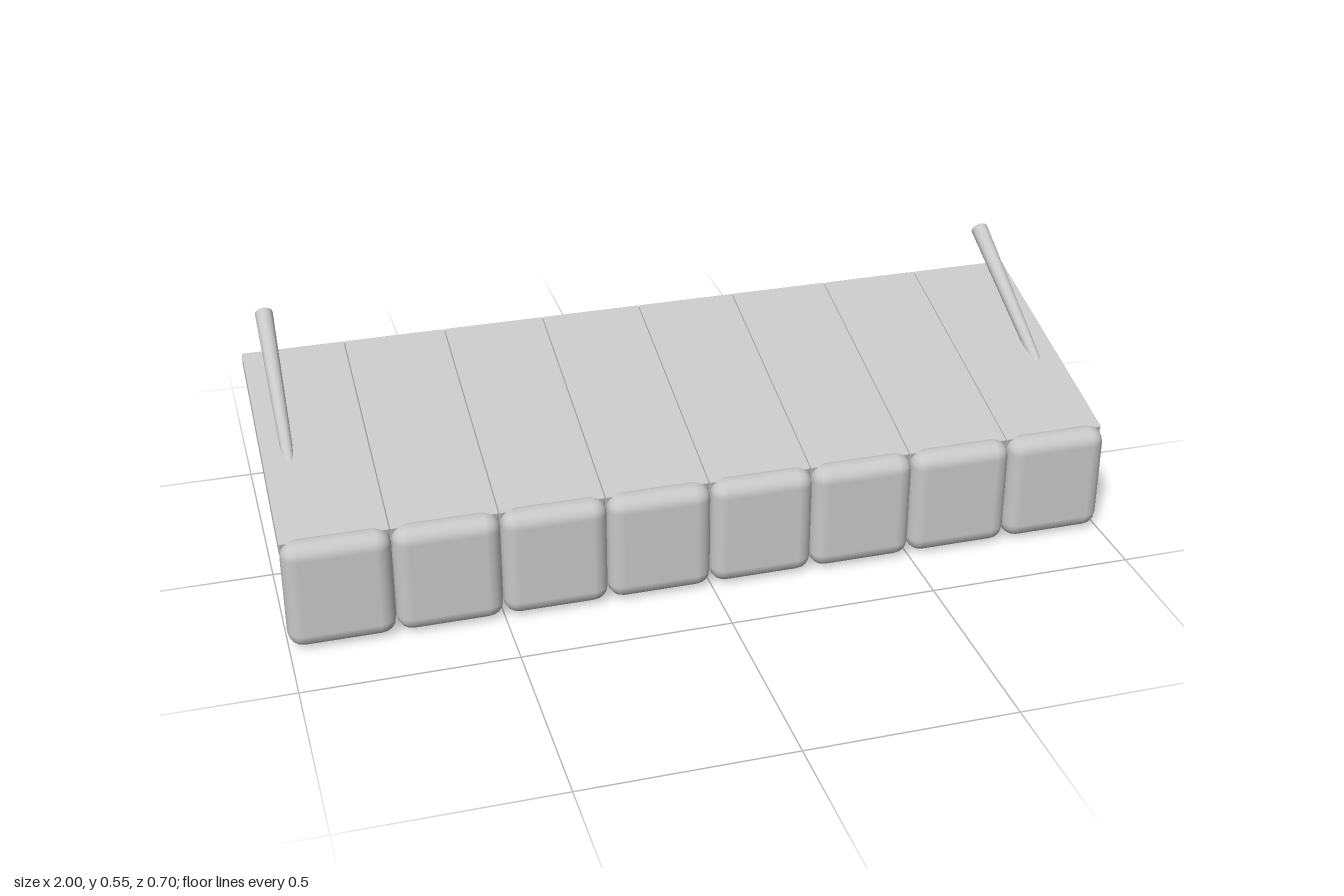
import * as THREE from 'three';
import { RoundedBoxGeometry } from 'three/addons/geometries/RoundedBoxGeometry.js';

export function createModel() {
  const model = new THREE.Group();
  model.name = 'slopedPlankBench';

  const grey = new THREE.MeshStandardMaterial({ color: 0xc8c8c8 });
  grey.name = 'light grey';

  const add = (geometry, name) => {
    const mesh = new THREE.Mesh(geometry, grey);
    mesh.name = name;
    model.add(mesh);
    return mesh;
  };

  // Row of cushioned front panels with sloping planks behind them
  const count = 8;
  const pitch = 2 / count;
  const panelGeometry = new RoundedBoxGeometry(pitch, 0.271, 0.075, 2, 0.0372);
  const plankGeometry = new RoundedBoxGeometry(pitch - 0.001, 0.037, 0.656, 2, 0.003);
  for (let i = 0; i < count; i++) {
    const x = -1 + pitch * (i + 0.5);
    add(panelGeometry, 'frontPanel').position.set(x, 0.1425, 0.3125);
    const plank = add(plankGeometry, 'slopedPlank');
    plank.position.set(x, 0.339, -0.011);
    plank.rotation.x = Math.atan2(0.167, 0.632);
  }

  // Tapered round strut running from a thin start to a thick end
  const up = new THREE.Vector3(0, 1, 0);
  const strut = (start, end, thin, thick, name) => {
    const a = new THREE.Vector3(...start);
    const b = new THREE.Vector3(...end);
    const direction = b.clone().sub(a);
    const mesh = add(new THREE.CylinderGeometry(thick, thin, direction.length(), 16), name);
    mesh.position.copy(a).add(b).multiplyScalar(0.5);
    mesh.quaternion.setFromUnitVectors(up, direction.normalize());
  };

  // A raised handle and a lowered leg at each end
  for (const side of [-1, 1]) {
    strut([side * 0.942, 0.2, 0.3], [side * 0.936, 0.534, -0.339], 0.009, 0.0215, 'upperStrut');
    strut([side * 0.942, 0.181, 0.3], [side * 0.936, 0.0235, -0.339], 0.006, 0.0215, 'lowerStrut');
  }

  return model;
}
